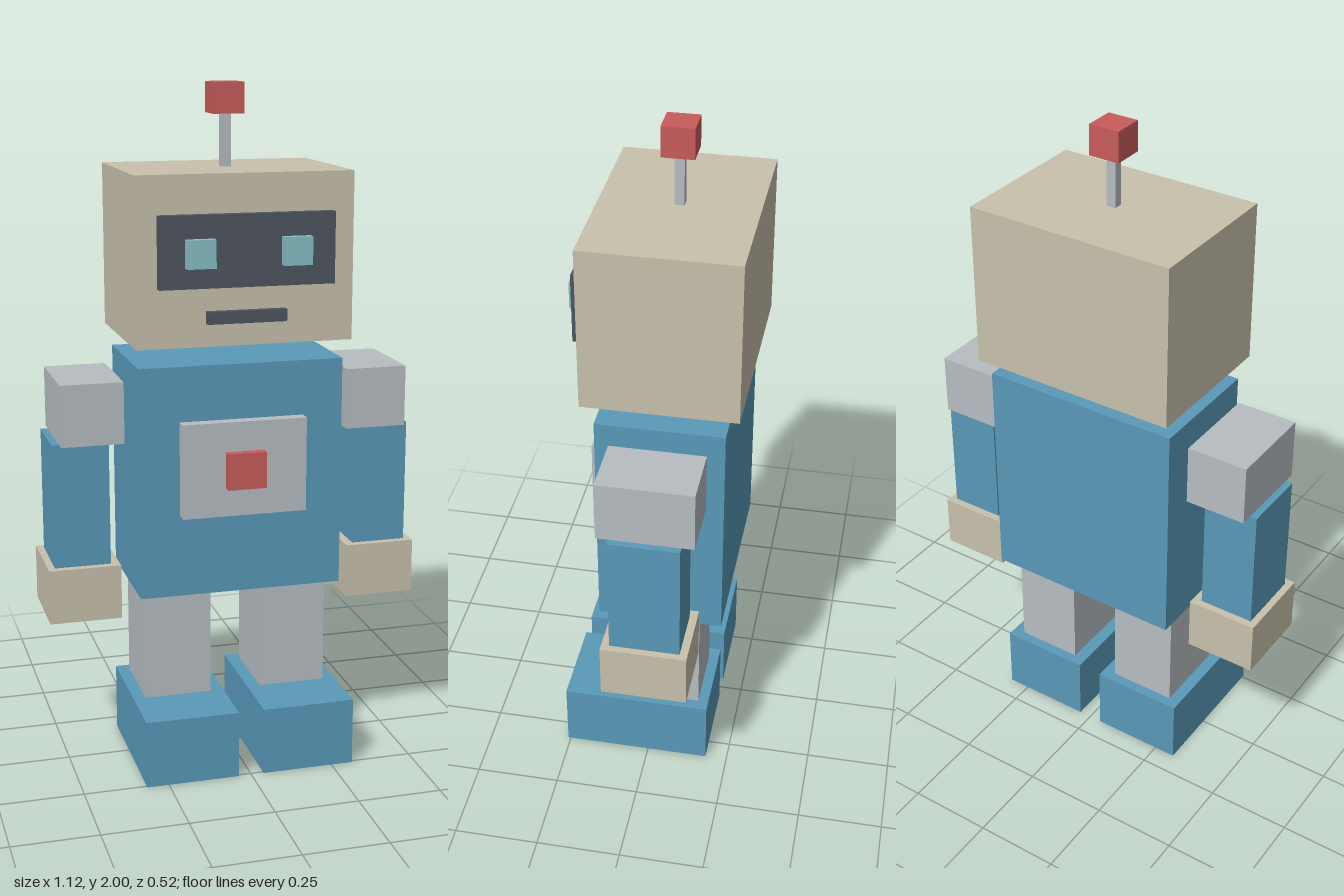
import * as THREE from 'three';

function material(name, color) {
  const m = new THREE.MeshStandardMaterial({ color });
  m.name = name;
  return m;
}

export function createModel() {
  const robot = new THREE.Group();
  robot.name = 'robot';

  const cream = material('cream', 0xc8c1ac);
  const blue = material('blue', 0x5a99b9);
  const grey = material('light grey', 0xb7bdc2);
  const dark = material('dark slate', 0x4e5560);
  const red = material('red', 0xc85c5b);
  const cyan = material('pale cyan', 0x88bfc7);

  // Box from its extents along each axis: [min, max]
  function box(parent, name, mat, [x0, x1], [y0, y1], [z0, z1]) {
    const mesh = new THREE.Mesh(new THREE.BoxGeometry(x1 - x0, y1 - y0, z1 - z0), mat);
    mesh.position.set((x0 + x1) / 2, (y0 + y1) / 2, (z0 + z1) / 2);
    mesh.name = name;
    parent.add(mesh);
  }

  function group(name) {
    const g = new THREE.Group();
    g.name = name;
    robot.add(g);
    return g;
  }

  // Head with visor, mouth and antenna
  const head = group('head');
  box(head, 'skull', cream, [-0.315, 0.315], [1.282, 1.762], [-0.26, 0.184]);
  box(head, 'visor', dark, [-0.253, 0.253], [1.45, 1.653], [0.184, 0.21]);
  box(head, 'mouth', dark, [-0.115, 0.115], [1.348, 1.383], [0.184, 0.206]);
  box(head, 'antennaRod', grey, [-0.014, 0.014], [1.762, 1.912], [-0.052, -0.024]);
  box(head, 'antennaTip', red, [-0.046, 0.046], [1.912, 2], [-0.085, 0.007]);

  // Torso with chest panel and button
  const body = group('body');
  box(body, 'torso', blue, [-0.302, 0.302], [0.54, 1.221], [-0.221, 0.147]);
  box(body, 'chestPanel', grey, [-0.184, 0.184], [0.782, 1.06], [0.147, 0.184]);
  box(body, 'chestButton', red, [-0.057, 0.057], [0.866, 0.973], [0.184, 0.21]);

  // Mirrored eyes, arms and legs
  for (const [side, s] of [['left', 1], ['right', -1]]) {
    const span = (a, b) => (s > 0 ? [a, b] : [-b, -a]);

    box(head, side + 'Eye', cyan, span(0.097, 0.18), [1.508, 1.588], [0.21, 0.234]);

    const arm = group(side + 'Arm');
    box(arm, side + 'Shoulder', grey, span(0.334, 0.517), [0.996, 1.176], [-0.175, 0.1]);
    box(arm, side + 'Forearm', blue, span(0.373, 0.538), [0.628, 0.996], [-0.139, 0.064]);
    box(arm, side + 'Hand', cream, span(0.347, 0.559), [0.466, 0.628], [-0.162, 0.087]);

    const leg = group(side + 'Leg');
    box(leg, side + 'Shin', grey, span(0.077, 0.279), [0.202, 0.54], [-0.153, 0.08]);
    box(leg, side + 'Foot', blue, span(0.038, 0.315), [0, 0.202], [-0.184, 0.258]);
  }

  return robot;
}
